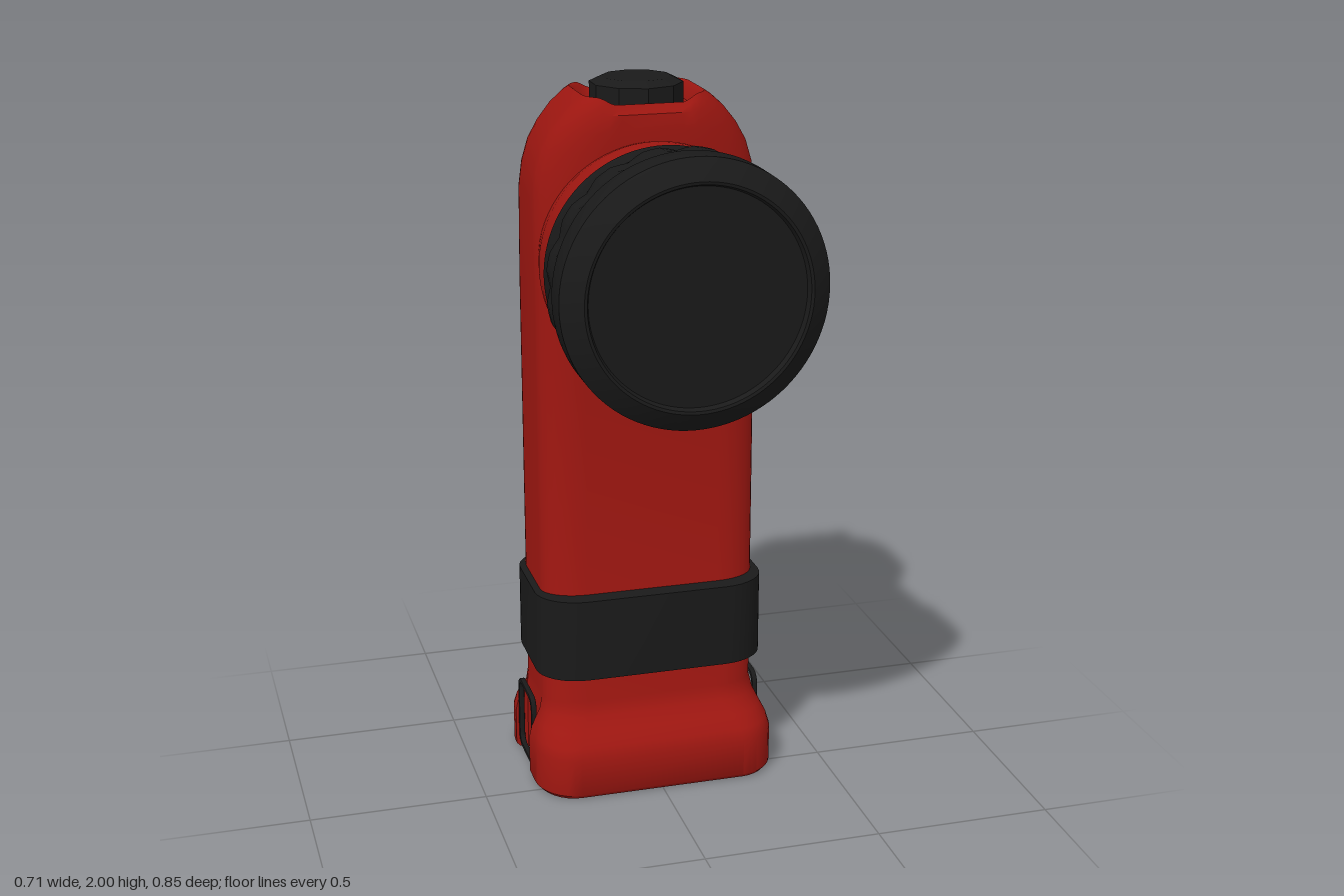
import * as THREE from 'three';
import { toCreasedNormals } from 'three/addons/utils/BufferGeometryUtils.js';

const red = new THREE.MeshStandardMaterial({ color: 0x9c1610 });
const black = new THREE.MeshStandardMaterial({ color: 0x1a1a1a });
const HEAD_Y = 1.54, BODY_Z = -0.19;

function part(parent, name, geometry, material, crease = 0.6) {
  const mesh = new THREE.Mesh(toCreasedNormals(geometry, crease), material);
  mesh.name = name;
  parent.add(mesh);
  return mesh;
}

// One rounded-rectangle ring; the sides are cut back to `notch` between z -0.28 and -0.10
function ring([y, cz, hx, hz, rx, rz], notch) {
  const pts = [], N = 8;
  const corner = (sx, sz, start) => {
    for (let i = 0; i <= N; i++) {
      const a = start + (i / N) * Math.PI / 2;
      pts.push([sx * (hx - rx) + rx * Math.cos(a), y, cz + sz * (hz - rz) + rz * Math.sin(a)]);
    }
  };
  const z0 = Math.max(-0.28, cz - hz + rz), z1 = Math.min(-0.10, cz + hz - rz);
  const n = Math.min(hx, notch);
  pts.push([hx, y, z0], [n, y, z0], [n, y, z1], [hx, y, z1]);
  corner(1, 1, 0);
  corner(-1, 1, Math.PI / 2);
  pts.push([-hx, y, z1], [-n, y, z1], [-n, y, z0], [-hx, y, z0]);
  corner(-1, -1, Math.PI);
  corner(1, -1, Math.PI * 1.5);
  return pts;
}

// Skin over stacked rings, listed from bottom to top
function loft(sections, notch = 9) {
  const rings = sections.map(s => ring(s, notch));
  const n = rings[0].length, index = [];
  for (let i = 0; i < rings.length - 1; i++) {
    for (let j = 0; j < n; j++) {
      const a = i * n + j, b = i * n + (j + 1) % n;
      index.push(a, a + n, b, b, a + n, b + n);
    }
  }
  const g = new THREE.BufferGeometry();
  g.setAttribute('position', new THREE.Float32BufferAttribute(rings.flat(2), 3));
  g.setIndex(index);
  return g;
}

// Lathe around the head axis; points are [radius, z]
function headLathe(points, segments = 72) {
  const g = new THREE.LatheGeometry(points.map(p => new THREE.Vector2(...p)), segments);
  return g.rotateX(Math.PI / 2).translate(0, HEAD_Y, 0);
}

function polygon(points, Type = THREE.Shape) {
  return new Type(points.map(p => new THREE.Vector2(...p)));
}

function roundRect(w, h, r, Type = THREE.Shape) {
  const s = new Type(), x = w / 2, y = h / 2;
  s.absarc(x - r, y - r, r, 0, Math.PI / 2);
  s.absarc(-x + r, y - r, r, Math.PI / 2, Math.PI);
  s.absarc(-x + r, -y + r, r, Math.PI, Math.PI * 1.5);
  s.absarc(x - r, -y + r, r, Math.PI * 1.5, Math.PI * 2);
  s.closePath();
  return s;
}

function extrude(shape, depth, bevel = 0.006) {
  return new THREE.ExtrudeGeometry(shape, {
    depth: depth - 2 * bevel, bevelSize: bevel, bevelThickness: bevel,
    bevelOffset: -bevel, bevelSegments: 2, curveSegments: 6,
  }).translate(0, 0, bevel);
}

export function createModel() {
  const model = new THREE.Group();
  model.name = 'rightAngleFlashlight';

  // Body with flared base, round shoulders and a sunken pocket on top
  const body = loft([
    [0, -0.165, 0.001, 0.001, 0.001, 0.001],
    [0, -0.165, 0.34, 0.247, 0.10, 0.12],
    [0.012, -0.165, 0.35, 0.257, 0.11, 0.125],
    [0.12, -0.165, 0.35, 0.257, 0.11, 0.125],
    [0.15, -0.168, 0.343, 0.243, 0.11, 0.12],
    [0.18, -0.174, 0.33, 0.213, 0.11, 0.11],
    [0.21, -0.183, 0.317, 0.184, 0.12, 0.09],
    [0.25, BODY_Z, 0.31, 0.17, 0.12, 0.08],
    [1.45, BODY_Z, 0.31, 0.17, 0.12, 0.08],
    [1.7, BODY_Z, 0.31, 0.17, 0.17, 0.09],
    [1.77, BODY_Z, 0.303, 0.17, 0.19, 0.10],
    [1.83, BODY_Z, 0.285, 0.17, 0.19, 0.10],
    [1.88, BODY_Z, 0.257, 0.168, 0.17, 0.10],
    [1.925, BODY_Z, 0.22, 0.163, 0.14, 0.09],
    [1.955, BODY_Z, 0.187, 0.15, 0.10, 0.08],
    [1.968, BODY_Z, 0.168, 0.138, 0.075, 0.07],
    [1.96, BODY_Z, 0.157, 0.13, 0.065, 0.06],
    [1.925, BODY_Z, 0.143, 0.118, 0.06, 0.05],
    [1.925, BODY_Z, 0.001, 0.001, 0.001, 0.001],
  ], 0.314);
  // Lower the pocket rim at its front and back, leaving a raised ear on each side
  const bp = body.attributes.position;
  for (let i = 0; i < bp.count; i++) {
    if (bp.getY(i) > 1.94) {
      const ear = THREE.MathUtils.smoothstep(Math.abs(bp.getX(i)), 0.09, 0.14);
      bp.setY(i, bp.getY(i) - 0.02 * (1 - ear));
    }
  }
  part(model, 'body', body, red, 0.7);

  // Faceted push button
  const button = new THREE.Group();
  button.name = 'button';
  button.position.z = BODY_Z;
  const side = new THREE.CylinderGeometry(0.127, 0.127, 0.065, 10).translate(0, 1.9525, 0);
  const cap = new THREE.CylinderGeometry(0.095, 0.127, 0.015, 10).translate(0, 1.9925, 0);
  part(button, 'buttonSide', side, black, 0.2);
  part(button, 'buttonCap', cap, black, 0.2);
  model.add(button);

  // Neck joining body and head
  part(model, 'neck', headLathe([
    [0.285, -0.2], [0.297, -0.1], [0.31, -0.04], [0.318, 0], [0.32, 0.03], [0.32, 0.074], [0.305, 0.082],
  ]), red);

  // Head bezel with shallow scalloped grips
  const bezel = headLathe([
    [0.30, 0.078], [0.32, 0.08], [0.325, 0.087], [0.325, 0.165], [0.338, 0.185], [0.346, 0.2], [0.349, 0.235],
    [0.35, 0.27], [0.35, 0.295], [0.355, 0.305], [0.355, 0.385], [0.335, 0.402], [0.30, 0.425],
    [0.292, 0.423], [0.285, 0.405],
  ], 96);
  const p = bezel.attributes.position;
  for (let i = 0; i < p.count; i++) {
    const x = p.getX(i), y = p.getY(i) - HEAD_Y, z = p.getZ(i);
    if (z > 0.18 && z < 0.28) {
      const dip = 1 - 0.035 * Math.max(0, Math.cos(16 * Math.atan2(y, x)));
      p.setXY(i, x * dip, HEAD_Y + y * dip);
    }
  }
  part(model, 'bezel', bezel, black);
  const lens = new THREE.CircleGeometry(0.29, 64).translate(0, HEAD_Y, 0.408);
  part(model, 'lens', lens, black);

  // Strap around the lower body
  const strap = [-0.175, 0.33, 0.205, 0.13, 0.11];
  part(model, 'strap', loft([
    [0.34, -0.175, 0.001, 0.001, 0.001, 0.001],
    [0.34, ...strap], [0.58, ...strap],
    [0.58, -0.175, 0.001, 0.001, 0.001, 0.001],
  ]), black);

  // Wire bails in the side notches of the base
  for (const s of [1, -1]) {
    const shape = roundRect(0.18, 0.22, 0.035);
    shape.holes.push(roundRect(0.155, 0.195, 0.025, THREE.Path));
    const bail = extrude(shape, 0.016, 0.003).translate(0, 0, -0.008).rotateY(Math.PI / 2);
    part(model, s > 0 ? 'leftBail' : 'rightBail', bail.translate(s * 0.334, 0.125, BODY_Z), black);
  }

  // Belt clip: tapered plate with a top window and two slots
  const clip = new THREE.Group();
  clip.name = 'beltClip';
  const outline = polygon([
    [-0.135, 0.9], [0.135, 0.9], [0.16, 0.925], [0.192, 1.62], [0.195, 1.83],
    [0.15, 1.92], [-0.15, 1.92], [-0.195, 1.83], [-0.192, 1.62], [-0.16, 0.925],
  ]);
  const opening = [[-0.15, 1.74], [0.15, 1.74], [0.15, 1.82], [0.125, 1.875], [-0.125, 1.875], [-0.15, 1.82]];
  outline.holes.push(polygon(opening, THREE.Path));
  for (const s of [1, -1]) {
    const x = s * 0.1;
    outline.holes.push(polygon([
      [x - 0.014, 1.62], [x + 0.014, 1.62], [x + 0.014, 1.665], [x - 0.014, 1.665],
    ], THREE.Path));
  }
  part(clip, 'clipPlate', extrude(outline, 0.052).translate(0, 0, -0.424), black);

  // Frame behind the window, standing against the body
  const frame = polygon([
    [-0.19, 1.68], [0.19, 1.68], [0.193, 1.83], [0.148, 1.917], [-0.148, 1.917], [-0.193, 1.83],
  ]);
  frame.holes.push(polygon(opening, THREE.Path));
  part(clip, 'clipFrame', extrude(frame, 0.03, 0.003).translate(0, 0, -0.382), black);
  part(clip, 'clipMount', new THREE.BoxGeometry(0.14, 0.2, 0.04).translate(0, 1.56, -0.365), black);
  model.add(clip);

  return model;
}
